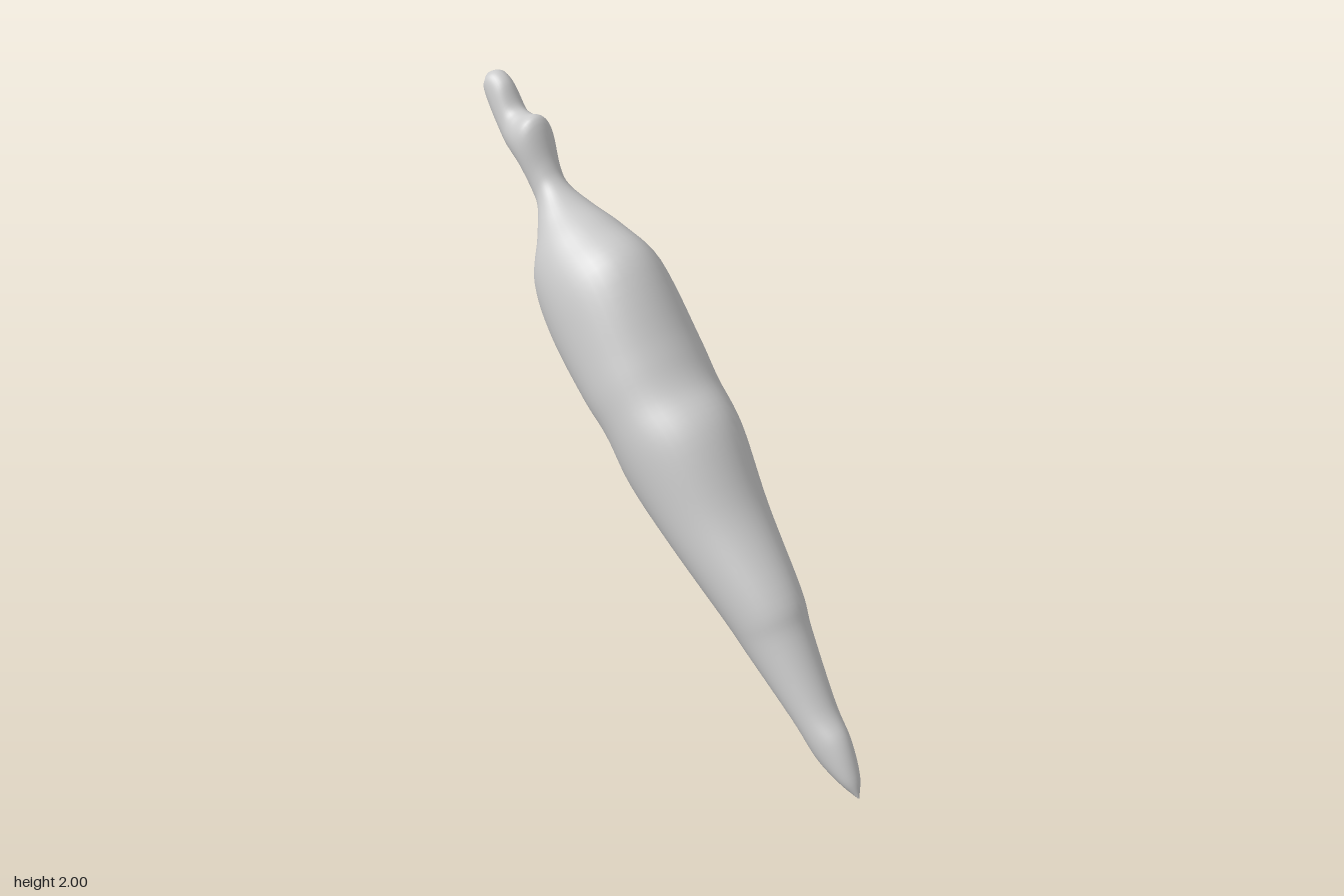
import * as THREE from 'three';

// Cross-sections: upper edge x, y, lower edge x, y, half width in z
const STALK = [
  [-0.985, 1.965, -0.98, 1.955, 0.006],
  [-0.96, 1.988, -0.96, 1.93, 0.03],
  [-0.92, 2.0, -0.965, 1.91, 0.045],
  [-0.87, 1.975, -0.92, 1.84, 0.052],
  [-0.82, 1.905, -0.84, 1.755, 0.058],
  [-0.77, 1.89, -0.8, 1.73, 0.066],
  [-0.7, 1.89, -0.74, 1.685, 0.073],
  [-0.64, 1.76, -0.68, 1.61, 0.06],
];
const ROOT = [
  [-0.59, 1.695, -0.65, 1.56, 0.067],
  [-0.5, 1.65, -0.61, 1.46, 0.117],
  [-0.36, 1.615, -0.6, 1.3, 0.175],
  [-0.18, 1.55, -0.49, 1.14, 0.21],
  [0, 1.32, -0.3, 1.0, 0.225],
  [0.1, 1.2, -0.18, 0.91, 0.219],
  [0.24, 1.09, -0.07, 0.76, 0.209],
  [0.4, 0.84, 0.12, 0.62, 0.18],
  [0.6, 0.61, 0.38, 0.427, 0.136],
  [0.67, 0.49, 0.48, 0.345, 0.114],
  [0.81, 0.28, 0.69, 0.185, 0.079],
  [0.9, 0.19, 0.8, 0.08, 0.062],
  [0.96, 0.08, 0.9, 0.035, 0.038],
  [0.98, 0.005, 0.975, 0.003, 0.003],
];
const STEPS = 6; // rings per section
const SIDES = 40;

// Smooth oval loft through all sections, closed at both ends
function loft(sections) {
  const spline = (pick) =>
    new THREE.CatmullRomCurve3(sections.map(pick), false, 'catmullrom', 0.5);
  const upper = spline((s) => new THREE.Vector3(s[0], s[1], s[4]));
  const lower = spline((s) => new THREE.Vector3(s[2], s[3], s[4]));
  const rings = (sections.length - 1) * STEPS;
  const positions = [];
  const indices = [];

  for (let i = 0; i <= rings; i++) {
    const u = upper.getPoint(i / rings);
    const l = lower.getPoint(i / rings);
    for (let j = 0; j < SIDES; j++) {
      const a = (j / SIDES) * Math.PI * 2;
      const t = (1 + Math.cos(a)) / 2;
      positions.push(l.x + (u.x - l.x) * t, l.y + (u.y - l.y) * t, u.z * Math.sin(a));
    }
  }

  const last = rings * SIDES;
  for (let j = 1; j < SIDES - 1; j++) indices.push(0, j + 1, j);
  for (let i = 0; i < rings; i++) {
    for (let j = 0; j < SIDES; j++) {
      const a = i * SIDES + j;
      const b = i * SIDES + ((j + 1) % SIDES);
      indices.push(a, b, a + SIDES, b, b + SIDES, a + SIDES);
    }
  }
  for (let j = 1; j < SIDES - 1; j++) indices.push(last, last + j, last + j + 1);

  const geometry = new THREE.BufferGeometry();
  geometry.setAttribute('position', new THREE.Float32BufferAttribute(positions, 3));
  geometry.setIndex(indices);
  geometry.computeVertexNormals();
  return geometry;
}

// One stretch of the loft, keeping normals continuous across the cut
function part(name, whole, from, to, material) {
  const geometry = new THREE.BufferGeometry();
  geometry.setAttribute('position', whole.attributes.position.clone());
  geometry.setAttribute('normal', whole.attributes.normal.clone());
  geometry.setIndex(Array.from(whole.index.array).slice(from, to));
  const mesh = new THREE.Mesh(geometry, material);
  mesh.name = name;
  return mesh;
}

export function createModel() {
  const group = new THREE.Group();
  group.name = 'carrot';
  const material = new THREE.MeshStandardMaterial({ color: 0xcccccc });
  const whole = loft([...STALK, ...ROOT]);
  const cut = (SIDES - 2) * 3 + STALK.length * STEPS * SIDES * 6;

  // knobbly stalk stub and the long tapering root
  group.add(part('stalk', whole, 0, cut, material));
  group.add(part('root', whole, cut, whole.index.count, material));
  return group;
}
